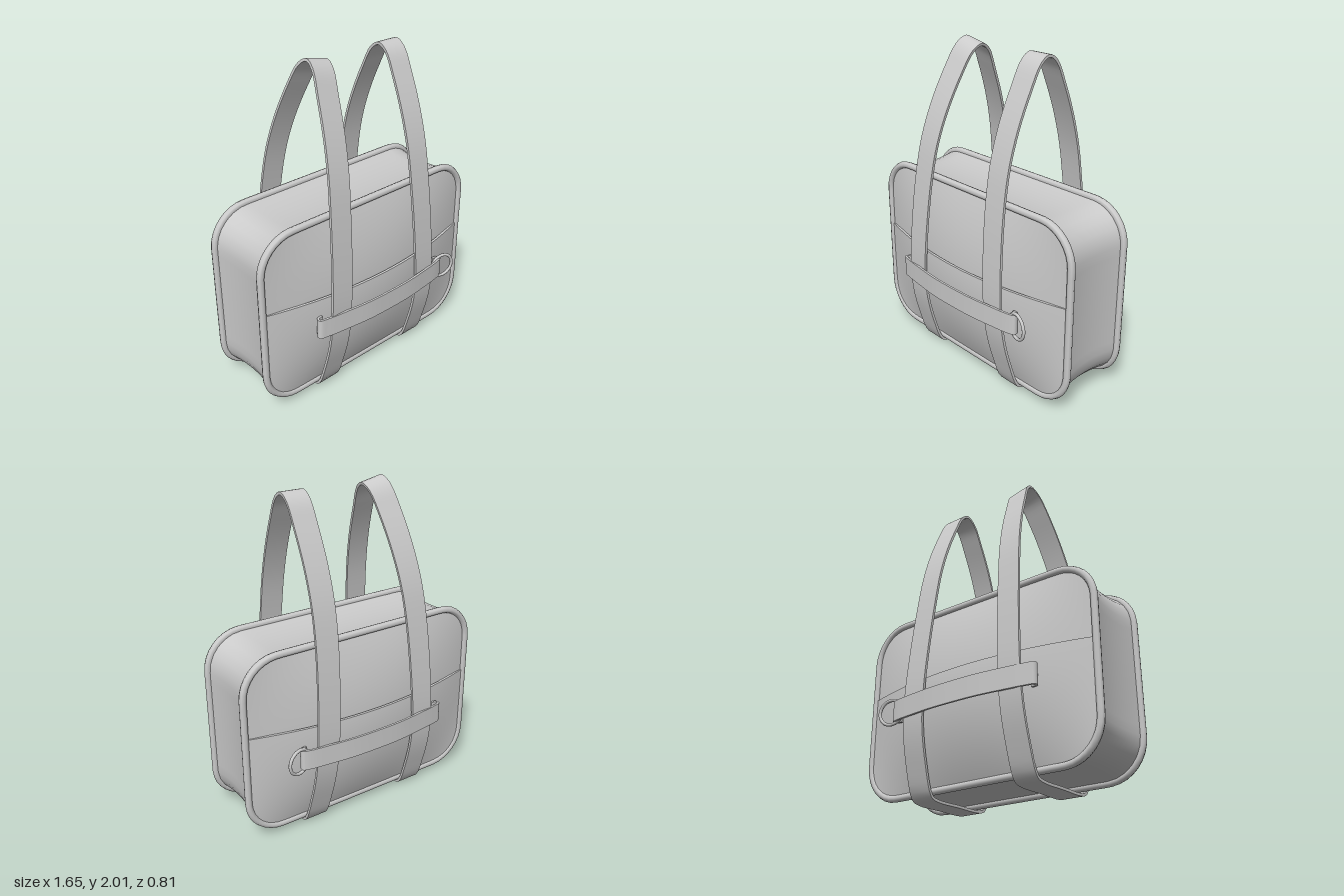
import * as THREE from 'three';
import { toCreasedNormals } from 'three/addons/utils/BufferGeometryUtils.js';

const V = (x, y, z) => new THREE.Vector3(x, y, z);
const material = new THREE.MeshStandardMaterial({ color: 0xcccccc, side: THREE.DoubleSide });

// Body outline: rounded rectangle
const HW = 0.8, HH = 0.553, CY = 0.612, R = 0.22, EDGE_Z = 0.218;

function outline(grow, z, count = 88) {
  const w = HW + grow, h = HH + grow, r = R + grow, s = new THREE.Shape();
  s.absarc(w - r, CY + h - r, r, 0, Math.PI / 2);
  s.absarc(-w + r, CY + h - r, r, Math.PI / 2, Math.PI);
  s.absarc(-w + r, CY - h + r, r, Math.PI, Math.PI * 1.5);
  s.absarc(w - r, CY - h + r, r, Math.PI * 1.5, Math.PI * 2);
  s.closePath();
  return s.getSpacedPoints(count).slice(0, count).map(p => V(p.x, p.y, z));
}

// Skins a list of equal-length rows of points
function loft(rows, { around = false, along = false, caps = false } = {}) {
  const n = rows[0].length, m = rows.length, index = [];
  for (let i = 0; i < (along ? m : m - 1); i++) {
    for (let j = 0; j < (around ? n : n - 1); j++) {
      const k = (j + 1) % n, a = i * n, b = ((i + 1) % m) * n;
      index.push(a + j, a + k, b + j, a + k, b + k, b + j);
    }
  }
  if (caps) {
    const e = (m - 1) * n;
    index.push(0, 2, 1, 0, 3, 2, e, e + 1, e + 2, e, e + 2, e + 3);
  }
  const g = new THREE.BufferGeometry().setFromPoints(rows.flat());
  g.setIndex(index);
  return toCreasedNormals(g, 0.7);
}

// Flat band swept along a curve; across(point) gives its width direction
function band(curve, count, width, thick, across, closed) {
  const rows = [];
  for (let i = 0; i < (closed ? count : count + 1); i++) {
    const t = i / count, p = curve.getPoint(t), T = curve.getTangent(t);
    const W = across(p);
    W.addScaledVector(T, -W.dot(T)).normalize();
    const N = T.clone().cross(W);
    rows.push([[1, 1], [-1, 1], [-1, -1], [1, -1]].map(([a, b]) =>
      p.clone().addScaledVector(W, a * width / 2).addScaledVector(N, b * thick / 2)));
  }
  return loft(rows, { around: true, along: closed, caps: !closed });
}

// Copies a geometry to the back of the bag
function mirrorZ(geometry) {
  const g = geometry.index ? geometry.toNonIndexed() : geometry.clone();
  g.scale(1, 1, -1);
  for (const a of Object.values(g.attributes)) {
    const s = a.itemSize;
    for (let i = 0; i < a.count; i += 3) {
      for (let k = 0; k < s; k++) {
        const p = (i + 1) * s + k, q = (i + 2) * s + k;
        [a.array[p], a.array[q]] = [a.array[q], a.array[p]];
      }
    }
  }
  return g;
}

// Bulging panel between two heights, with an optional folded lip on top
function panel(y0, y1, z0, bulge, lip = 0) {
  const rows = [], m = 28, n = 32;
  const row = (y, back) => {
    const d = Math.max(0, Math.abs(y - CY) - (HH - R));
    const w = HW - R + Math.sqrt(Math.max(0, R * R - d * d));
    const fy = 1 - ((y - CY) / HH) ** 2;
    return Array.from({ length: n + 1 }, (_, j) => {
      const x = w * (2 * j / n - 1);
      return V(x, y, z0 + bulge * fy * (1 - (x / HW) ** 2) - back);
    });
  };
  for (let i = 0; i <= m; i++) {
    rows.push(row(y0 + (y1 - y0) * (1 - Math.cos(Math.PI * i / m)) / 2, 0));
  }
  if (lip) rows.push(row(y1, lip), row(y1 - 0.08, lip));
  return loft(rows);
}

export function createModel() {
  const bag = new THREE.Group();
  bag.name = 'handbag';
  const add = (name, geometry) => {
    const mesh = new THREE.Mesh(geometry, material);
    mesh.name = name;
    bag.add(mesh);
  };
  const addPair = (name, geometry) => {
    add(name + 'Front', geometry);
    add(name + 'Back', mirrorZ(geometry));
  };

  // Gusset, pulled in slightly between the seams
  const rows = [];
  for (let i = 0; i <= 10; i++) {
    const t = i / 5 - 1;
    rows.push(outline(-0.022 * (1 - t * t), t * EDGE_Z));
  }
  add('gusset', loft(rows, { around: true }));

  // Piping, main panels and outer pockets
  const rim = new THREE.CatmullRomCurve3(outline(0.002, EDGE_Z), true);
  addPair('piping', new THREE.TubeGeometry(rim, 120, 0.022, 8, true));
  addPair('panel', panel(CY - HH, CY + HH, EDGE_Z, 0.095));
  addPair('pocket', panel(CY - HH, 0.705, EDGE_Z + 0.006, 0.127, 0.016));

  // Carrying straps: closed loops under the bag and up over both sides
  const side = [[0.19, 0.012], [0.235, 0.03], [0.3, 0.2], [0.347, 0.4], [0.36, 0.6], [0.345, 0.9],
    [0.313, 1.2], [0.275, 1.42], [0.215, 1.62], [0.13, 1.82], [0.06, 1.95]];
  const strap = (name, xs, tilt) => {
    const front = side.map(([z, y], i) => V(xs[i], y, z));
    const back = front.map(p => V(p.x, p.y, -p.z)).reverse();
    const path = [V(xs[0], 0.01, 0), ...front, V(xs[11], 1.985, 0), ...back];
    const across = p => V(1, -tilt * THREE.MathUtils.smoothstep(p.y, 0.7, 1.9), 0);
    add(name, band(new THREE.CatmullRomCurve3(path, true), 96, 0.146, 0.016, across, true));
  };
  strap('rightStrap', [-0.355, -0.355, -0.353, -0.35, -0.345, -0.33, -0.312, -0.292, -0.267, -0.237, -0.212, -0.202], 0.2);
  strap('leftStrap', [0.362, 0.362, 0.357, 0.35, 0.341, 0.328, 0.318, 0.317, 0.32, 0.326, 0.33, 0.331], 0);

  // Horizontal belts with folded ends
  const beltPath = new THREE.CatmullRomCurve3([
    [-0.46, 0.318], [-0.492, 0.322], [-0.496, 0.345], [-0.45, 0.358], [-0.32, 0.377], [-0.15, 0.396], [0.02, 0.4],
    [0.18, 0.396], [0.34, 0.38], [0.47, 0.362], [0.508, 0.348], [0.505, 0.325], [0.47, 0.318],
  ].map(([x, z]) => V(x, 0.537, z)));
  addPair('belt', band(beltPath, 60, 0.125, 0.014, () => V(0, 1, 0), false));

  // Rings at the belt ends
  const ring = new THREE.TorusGeometry(0.076, 0.01, 8, 32);
  ring.rotateY(-0.24);
  ring.translate(0.532, 0.537, 0.352);
  addPair('beltRing', ring);

  return bag;
}
